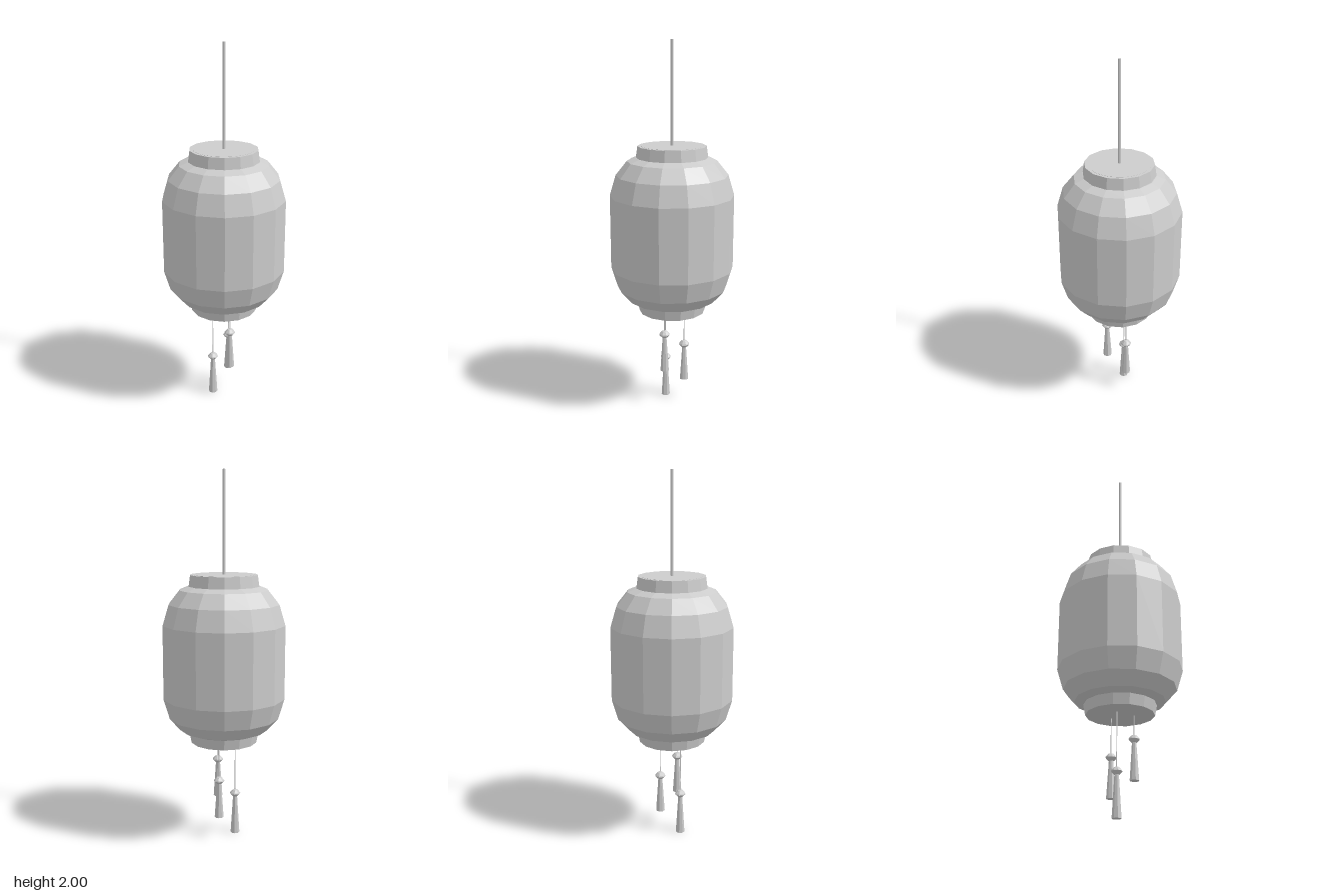
import * as THREE from 'three';

const SIDES = 14;

export function createModel() {
  const model = new THREE.Group();
  const grey = new THREE.MeshStandardMaterial({ color: 0xcccccc });
  grey.name = 'light grey';
  grey.flatShading = true;

  const add = (parent, name, geometry, x = 0, y = 0, z = 0) => {
    const mesh = new THREE.Mesh(geometry, grey);
    mesh.name = name;
    mesh.position.set(x, y, z);
    parent.add(mesh);
    return mesh;
  };

  // Faceted solid of revolution from [radius, height] pairs, bottom to top
  const turned = (profile, sides) => new THREE.LatheGeometry(
    profile.map(([r, y]) => new THREE.Vector2(r, y)), sides, Math.PI / 2);

  // Upright cylinder between two heights
  const column = (top, bottom, y0, y1, sides) =>
    new THREE.CylinderGeometry(top, bottom, y1 - y0, sides).translate(0, (y0 + y1) / 2, 0);

  // Paper shade, with both shoulders stepping in to the collars
  add(model, 'lanternShade', turned([
    [0.17, 0.59], [0.195, 0.597], [0.24, 0.613], [0.3, 0.68], [0.333, 0.79],
    [0.333, 1.19], [0.3, 1.3], [0.24, 1.375], [0.195, 1.393], [0.17, 1.4],
  ], SIDES));

  // Closed collars, each narrowing away from the shade
  add(model, 'topCollar', turned([[0, 1.39], [0.192, 1.39], [0.183, 1.455], [0, 1.455]], SIDES));
  add(model, 'bottomCollar', turned([[0, 0.54], [0.181, 0.54], [0.192, 0.597], [0, 0.597]], SIDES));

  // Round lid and hanging rod
  add(model, 'lid', column(0.164, 0.164, 1.44, 1.456, 48));
  add(model, 'hangingRod', column(0.0078, 0.0078, 1.45, 2, 12));

  // Three tassels on strings: [x, z, bottom, total height]
  const tassels = [
    [-0.055, -0.032, 0, 0.255],
    [-0.014, 0.07, 0.2, 0.237],
    [0.06, -0.032, 0.12, 0.234],
  ];
  for (const [x, z, bottom, height] of tassels) {
    const tassel = new THREE.Group();
    tassel.name = 'tassel';
    tassel.position.set(x, 0, z);
    const top = bottom + height;
    add(tassel, 'tasselFringe', column(0.011, 0.025, bottom, top - 0.03, 8));
    add(tassel, 'tasselBead', turned(
      [[0, -0.022], [0.015, -0.018], [0.03, -0.002], [0.027, 0.004], [0.014, 0.018], [0, 0.022]], 8),
    0, top - 0.022, 0);
    add(tassel, 'tasselString', column(0.0025, 0.0025, top - 0.01, 0.55, 6));
    model.add(tassel);
  }
  return model;
}
